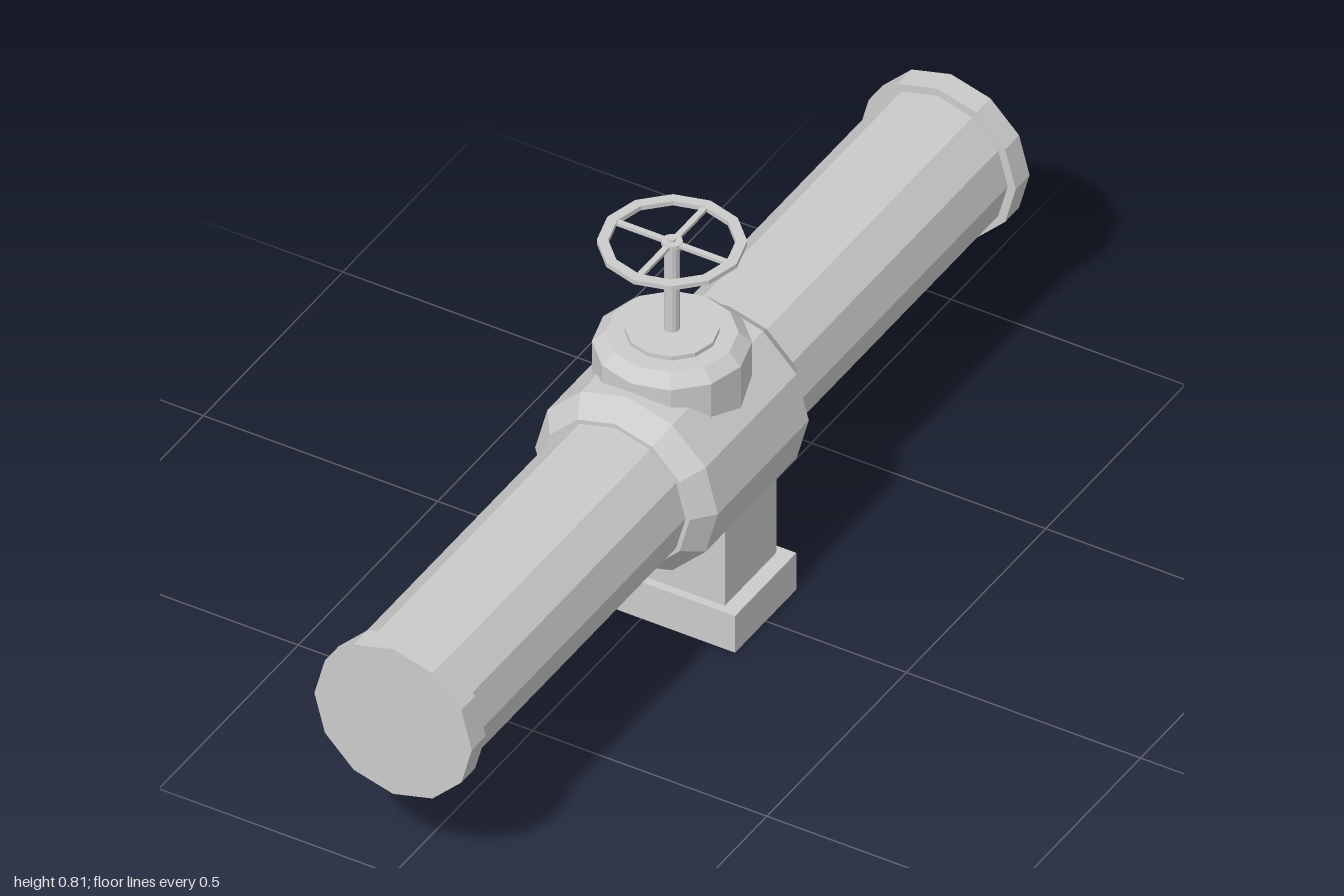
import * as THREE from 'three';

const SIDES = 12;
const AXIS_Y = 0.355;
const material = new THREE.MeshStandardMaterial({
  color: 0xcccccc, flatShading: true, side: THREE.DoubleSide,
});

function add(parent, name, geometry, x = 0, y = 0, z = 0) {
  const mesh = new THREE.Mesh(geometry, material);
  mesh.name = name;
  mesh.position.set(x, y, z);
  parent.add(mesh);
  return mesh;
}

// Twelve-sided turned part from [radius, height] pairs, bottom to top
function turned(profile) {
  return new THREE.LatheGeometry(profile.map(([r, h]) => new THREE.Vector2(r, h)), SIDES);
}

// Hollow rectangular shell through [halfWidth, halfDepth, height] sections
function rectShell(sections) {
  const positions = [], index = [];
  for (const [w, d, y] of sections) {
    positions.push(-w, y, d, w, y, d, w, y, -d, -w, y, -d);
  }
  for (let s = 0; s < sections.length - 1; s++) {
    for (let i = 0; i < 4; i++) {
      const a = s * 4 + i, b = s * 4 + (i + 1) % 4;
      index.push(a, b, b + 4, a, b + 4, a + 4);
    }
  }
  const geometry = new THREE.BufferGeometry();
  geometry.setAttribute('position', new THREE.Float32BufferAttribute(positions, 3));
  geometry.setIndex(index);
  const flat = geometry.toNonIndexed();
  flat.computeVertexNormals();
  return flat;
}

export function createModel() {
  const model = new THREE.Group();
  model.name = 'pipeValve';

  // Stepped support, open underneath
  add(model, 'pedestal', rectShell([
    [0.2, 0.11, 0], [0.2, 0.11, 0.085], [0.168, 0.093, 0.085], [0.168, 0.093, 0.257],
  ]));

  // Valve body with chamfered ends, lying along z
  const body = add(model, 'valveBody', turned([
    [0, -0.205], [0.16, -0.205], [0.195, -0.163], [0.195, 0.163], [0.16, 0.205], [0, 0.205],
  ]), 0, AXIS_Y);
  body.rotation.x = Math.PI / 2;

  // Pipe and closed end collar on each side
  for (const side of [1, -1]) {
    const arm = new THREE.Group();
    arm.name = side > 0 ? 'frontPipe' : 'backPipe';
    arm.position.y = AXIS_Y;
    arm.rotation.x = side * Math.PI / 2;
    add(arm, 'pipe', new THREE.CylinderGeometry(0.151, 0.151, 0.75, SIDES, 1, true), 0, 0.58);
    add(arm, 'endCollar', new THREE.CylinderGeometry(0.168, 0.168, 0.05, SIDES), 0, 0.975);
    model.add(arm);
  }

  // Bonnet on top of the body, with a raised cap
  add(model, 'bonnet', turned([
    [0.147, 0.4], [0.147, 0.57], [0.122, 0.593], [0.087, 0.593], [0.087, 0.602], [0, 0.602],
  ]));

  // Stem and its tip
  add(model, 'stem', new THREE.CylinderGeometry(0.015, 0.015, 0.2, SIDES), 0, 0.7);
  add(model, 'stemTip', new THREE.CylinderGeometry(0.007, 0.007, 0.012, SIDES), 0, 0.804);

  // Handwheel: rim, four spokes and hub
  const wheel = new THREE.Group();
  wheel.name = 'handwheel';
  wheel.position.y = 0.8;
  add(wheel, 'rim', turned([
    [0.117, -0.005], [0.138, -0.005], [0.138, 0.005], [0.117, 0.005], [0.117, -0.005],
  ]));
  add(wheel, 'hub', new THREE.CylinderGeometry(0.02, 0.02, 0.009, SIDES));
  for (let i = 0; i < 4; i++) {
    const angle = i * Math.PI / 2;
    const spoke = add(wheel, 'spoke', new THREE.BoxGeometry(0.11, 0.007, 0.012),
      Math.cos(angle) * 0.065, 0, -Math.sin(angle) * 0.065);
    spoke.rotation.y = angle;
  }
  model.add(wheel);

  return model;
}
